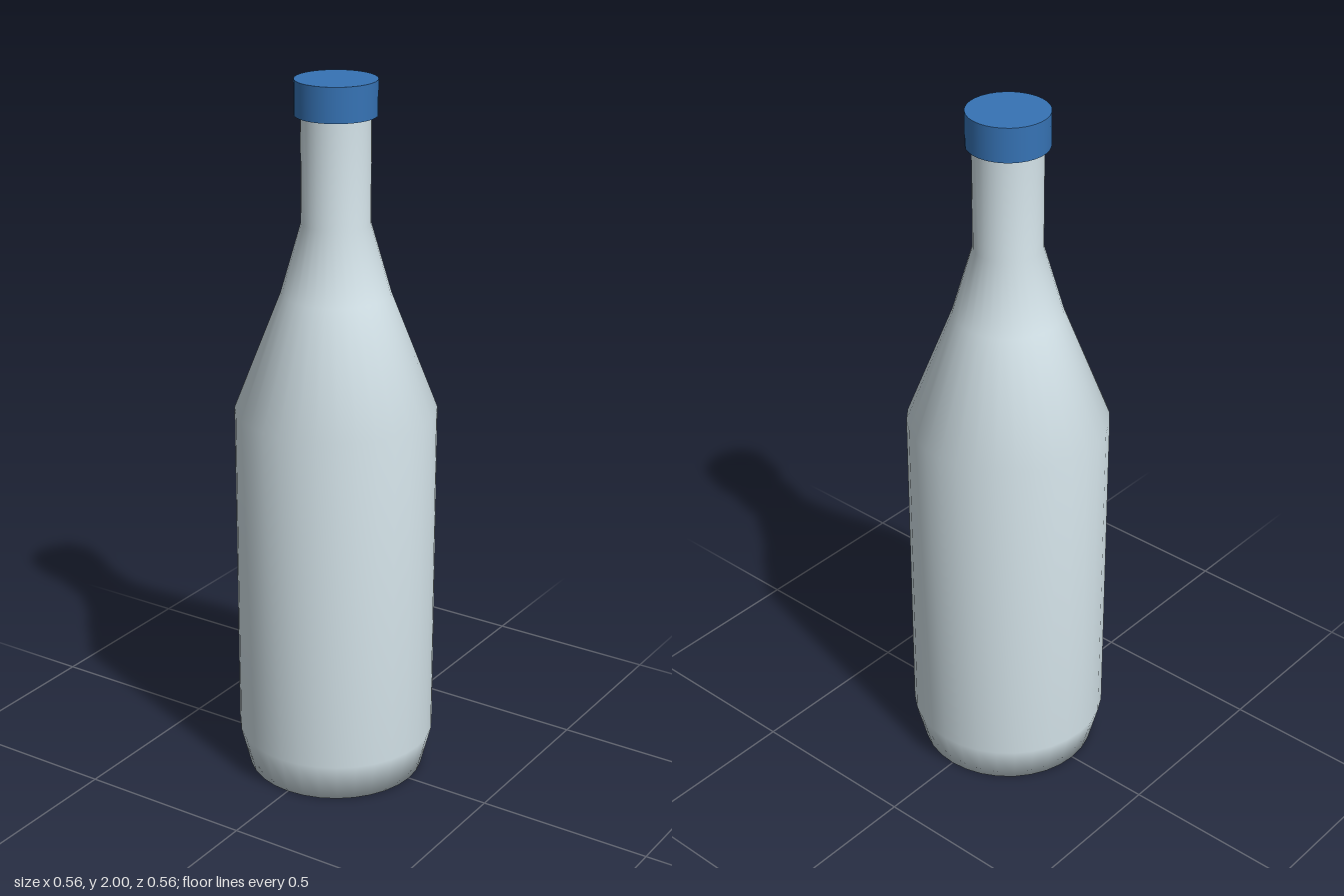
import * as THREE from 'three';

export function createModel() {
  const model = new THREE.Group();
  const segments = 32;

  // Closed base, straight body, tapering shoulder and neck
  const profile = [
    [0, 0], [0.25, 0], [0.279, 0.115], [0.279, 1.09],
    [0.15, 1.42], [0.094, 1.615], [0.094, 1.95],
  ].map(([r, y]) => new THREE.Vector2(r, y));
  const bottle = new THREE.Mesh(
    new THREE.LatheGeometry(profile, segments),
    new THREE.MeshStandardMaterial({ color: 0xd3e2e8, side: THREE.DoubleSide }),
  );
  bottle.name = 'bottle';
  model.add(bottle);

  // Flat screw cap
  const capHeight = 0.095;
  const cap = new THREE.Mesh(
    new THREE.CylinderGeometry(0.111, 0.111, capHeight, segments),
    new THREE.MeshStandardMaterial({ color: 0x3673b5 }),
  );
  cap.name = 'cap';
  cap.position.y = 2 - capHeight / 2;
  model.add(cap);

  return model;
}
